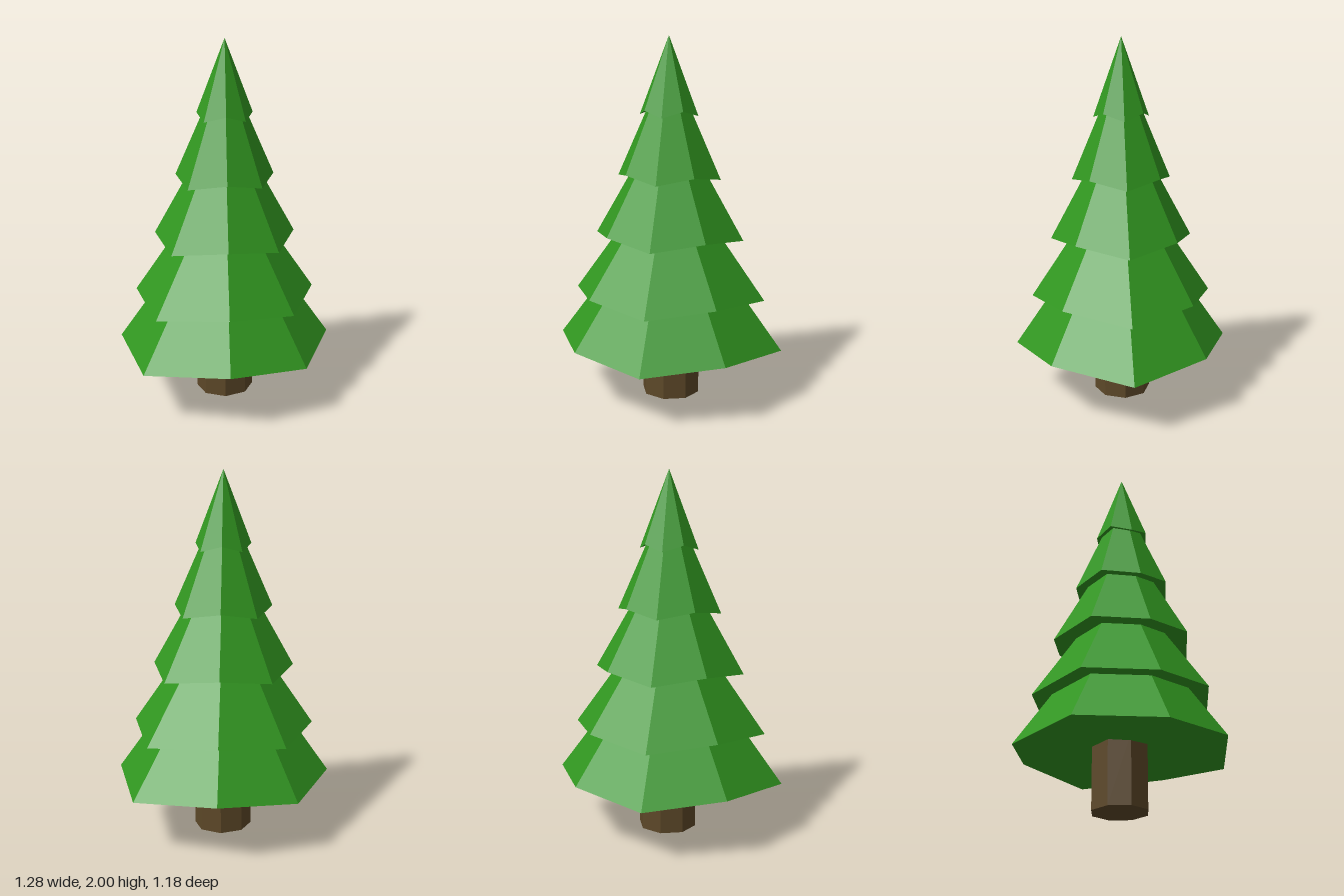
import * as THREE from 'three';

const green = new THREE.MeshStandardMaterial({ color: 0x319620, flatShading: true });
const brown = new THREE.MeshStandardMaterial({ color: 0x5d4828, flatShading: true });

// One eight-sided bough skirt: a cone whose rim dips at every other corner, with a raised underside
function makeTier({ y, apex, rx, rz, diag, lift, under }) {
  const rim = [];
  for (let i = 0; i < 8; i++) {
    const a = (i * Math.PI) / 4;
    const corner = i % 2 === 1;
    const sx = Math.sign(Math.round(Math.sin(a))), sz = Math.sign(Math.round(Math.cos(a)));
    rim.push(corner ? [sx * diag, y + lift, sz * diag] : [sx * rx, y, sz * rz]);
  }
  const positions = [];
  rim.forEach((p, i) => {
    const q = rim[(i + 1) % 8];
    positions.push(...p, ...q, 0, apex, 0); // outer slope
    positions.push(...q, ...p, 0, under, 0); // underside
  });
  const geometry = new THREE.BufferGeometry();
  geometry.setAttribute('position', new THREE.Float32BufferAttribute(positions, 3));
  geometry.computeVertexNormals();
  return new THREE.Mesh(geometry, green);
}

export function createModel() {
  const tree = new THREE.Group();
  tree.name = 'pineTree';

  // Trunk, slightly off centre
  const trunkGeometry = new THREE.CylinderGeometry(1, 1, 0.38, 8);
  trunkGeometry.scale(0.162, 1, 0.155);
  trunkGeometry.translate(0.009, 0.19, -0.006);
  const trunk = new THREE.Mesh(trunkGeometry, brown);
  trunk.name = 'trunk';
  tree.add(trunk);

  // Foliage, from the lowest skirt to the tip
  const tiers = [
    { y: 0.295, apex: 1.16, rx: 0.64, rz: 0.59, diag: 0.414, lift: 0.036, under: 0.35 },
    { y: 0.575, apex: 1.33, rx: 0.54, rz: 0.497, diag: 0.349, lift: 0.037, under: 0.65 },
    { y: 0.906, apex: 1.63, rx: 0.418, rz: 0.387, diag: 0.271, lift: 0.037, under: 0.99 },
    { y: 1.237, apex: 1.88, rx: 0.289, rz: 0.268, diag: 0.188, lift: 0.035, under: 1.31 },
    { y: 1.577, apex: 2, rx: 0.163, rz: 0.15, diag: 0.106, lift: 0.033, under: 1.64 },
  ];
  tiers.forEach((tier, i) => {
    const mesh = makeTier(tier);
    mesh.name = `foliageTier${i + 1}`;
    tree.add(mesh);
  });

  return tree;
}
